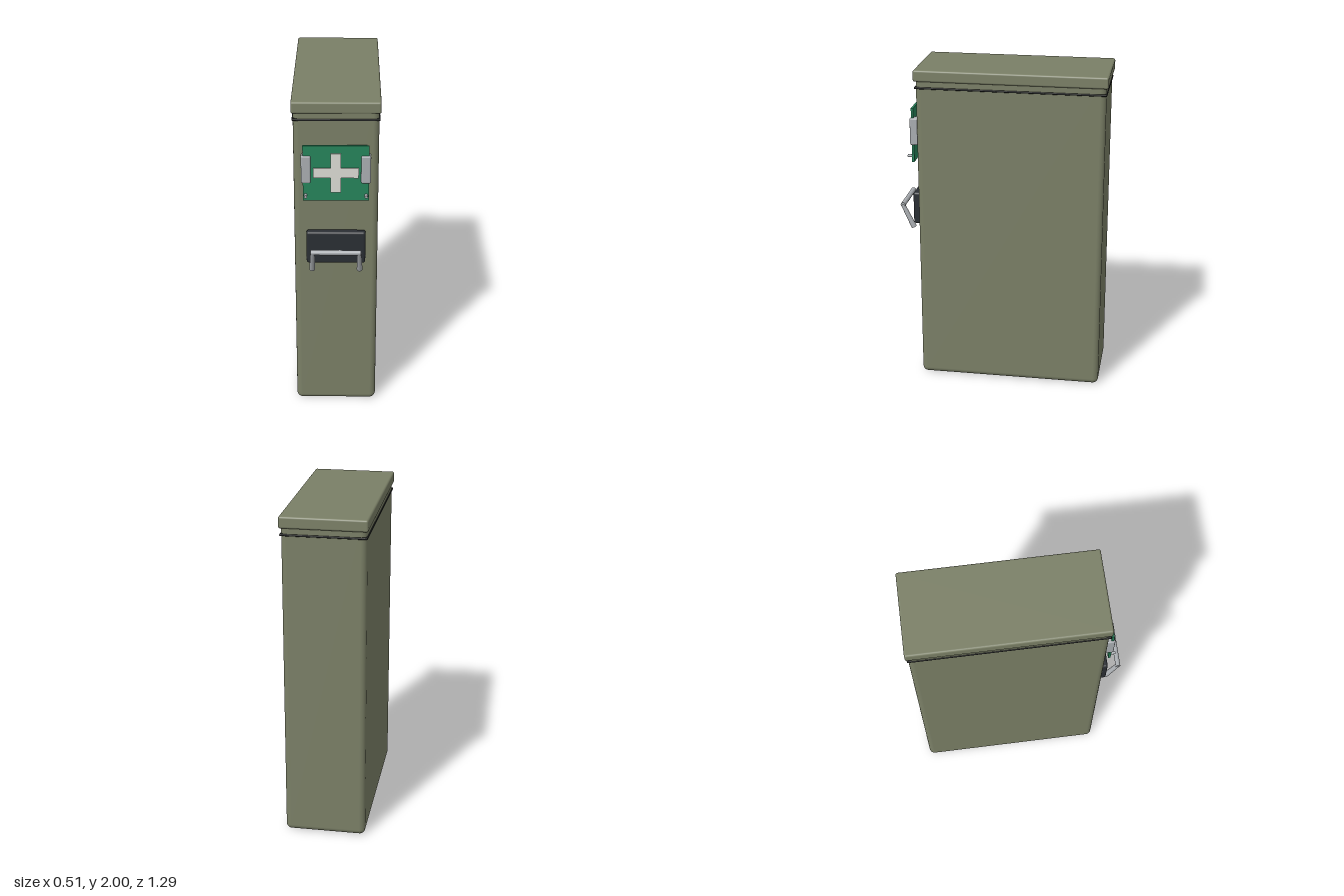
import * as THREE from 'three';
import { RoundedBoxGeometry } from 'three/addons/geometries/RoundedBoxGeometry.js';

const paint = (color) => new THREE.MeshStandardMaterial({ color });

export function createModel() {
  const model = new THREE.Group();
  const olive = paint(0x7a7f66), dark = paint(0x2a2e33), rubber = paint(0x1c1e1e);
  const green = paint(0x26845a), white = paint(0xdcdcd4), metal = paint(0xa9adb1);

  const add = (name, geometry, material) => {
    const mesh = new THREE.Mesh(geometry, material);
    mesh.name = name;
    model.add(mesh);
    return mesh;
  };
  // Box given by its extents; a radius rounds its edges
  const box = (name, material, [x0, x1], [y0, y1], [z0, z1], radius = 0) => {
    const size = [x1 - x0, y1 - y0, z1 - z0];
    const geometry = radius ? new RoundedBoxGeometry(...size, 4, radius) : new THREE.BoxGeometry(...size);
    geometry.translate((x0 + x1) / 2, (y0 + y1) / 2, (z0 + z1) / 2);
    return add(name, geometry, material);
  };
  // Round rod between two points
  const rod = (name, material, from, to, r0, r1 = r0) => {
    const a = new THREE.Vector3(...from), b = new THREE.Vector3(...to);
    const mesh = add(name, new THREE.CylinderGeometry(r1, r0, a.distanceTo(b), 20), material);
    mesh.position.copy(a).add(b).multiplyScalar(0.5);
    mesh.quaternion.setFromUnitVectors(new THREE.Vector3(0, 1, 0), b.sub(a).normalize());
    return mesh;
  };

  // Tall case with sealing strip and lid
  box('caseBody', olive, [-0.245, 0.245], [0, 1.98], [-0.63, 0.507], 0.035);
  box('seal', rubber, [-0.25, 0.25], [1.885, 1.897], [-0.635, 0.512], 0.005);
  box('lid', olive, [-0.255, 0.255], [1.93, 2], [-0.643, 0.518], 0.012);

  // First aid panel with raised cross
  box('signPanel', green, [-0.19, 0.19], [1.41, 1.75], [0.535, 0.549]);
  const cross = new THREE.Shape();
  const w = 0.03, h = 0.12, l = 0.13;
  [[-w, -h], [w, -h], [w, -w], [l, -w], [l, w], [w, w], [w, h], [-w, h], [-w, w], [-l, w], [-l, -w], [-w, -w]]
    .forEach(([x, y], i) => (i ? cross.lineTo(x, y) : cross.moveTo(x, y)));
  const crossMesh = add('cross', new THREE.ExtrudeGeometry(cross, { depth: 0.009, bevelEnabled: false }), white);
  crossMesh.position.set(0, 1.585, 0.548);

  // Mirrored clips, screws and handle arms
  for (const s of [-1, 1]) {
    const side = s > 0 ? 'left' : 'right';
    box(side + 'Clip', metal, [s * 0.172 - 0.028, s * 0.172 + 0.028], [1.52, 1.69], [0.505, 0.558], 0.01);
    rod(side + 'Screw', metal, [s * 0.174, 1.445, 0.54], [s * 0.174, 1.445, 0.578], 0.009);
    rod(side + 'HandleArm', metal, [s * 0.14, 0.965, 0.56], [s * 0.136, 1.11, 0.63], 0.017, 0.013);
  }

  // Pull handle
  box('handlePlate', dark, [-0.173, 0.173], [1, 1.205], [0.507, 0.554], 0.014);
  rod('handleBar', metal, [-0.146, 1.11, 0.627], [0.146, 1.11, 0.627], 0.015);

  return model;
}
